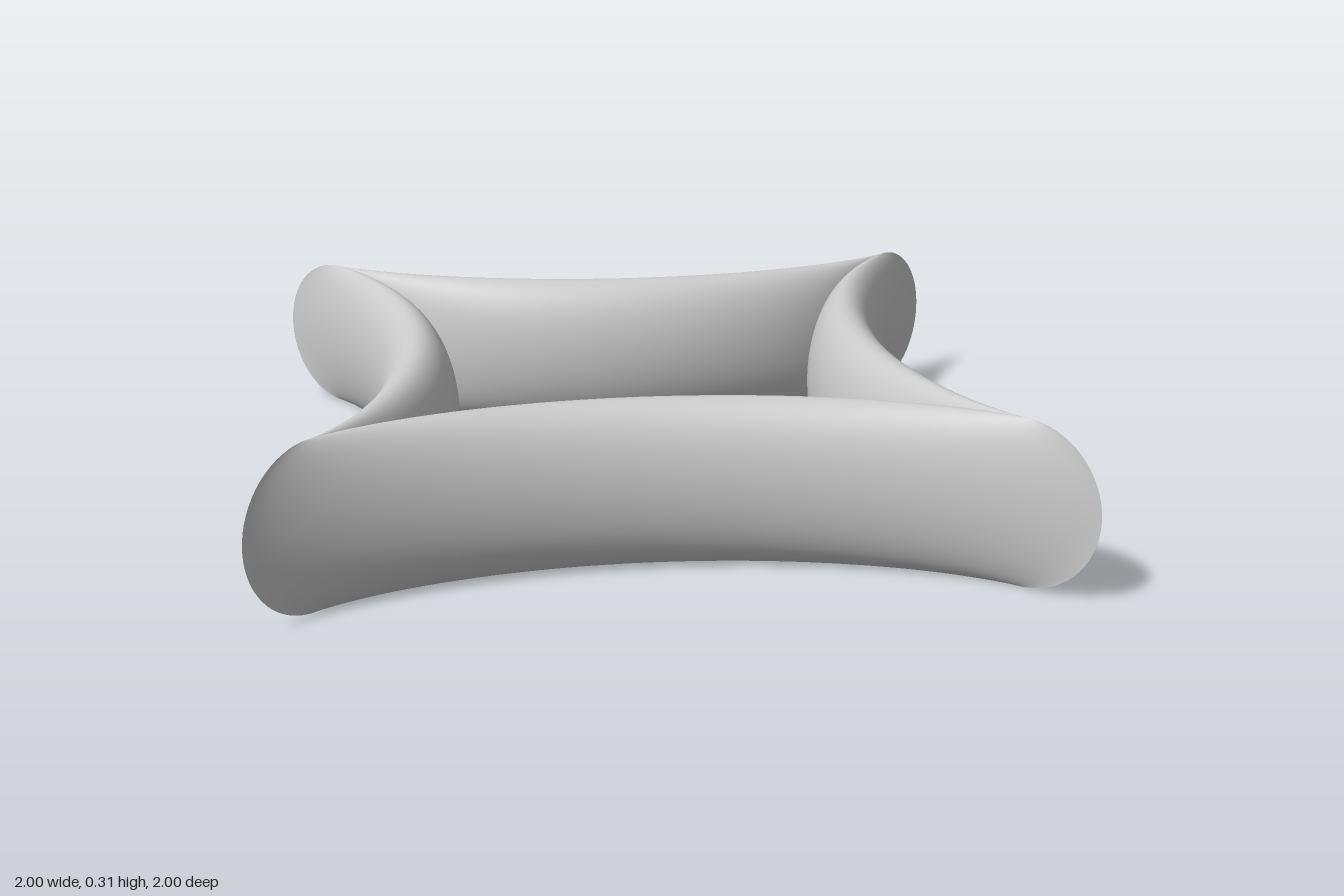
import * as THREE from 'three';

const RING = 0.8475;   // radius of the tube's centre line at the tips
const TUBE = 0.1525;   // tube radius
const ALONG = 80, AROUND = 64;

// One concave side: a torus quarter whose sweep follows an astroid (cos^3, sin^3)
function astroidArc() {
  const positions = [], indices = [];
  for (let i = 0; i <= ALONG; i++) {
    const u = (i / ALONG) * Math.PI / 2;
    const cx = Math.cos(u) ** 3, cz = Math.sin(u) ** 3;
    for (let j = 0; j < AROUND; j++) {
      const v = (j / AROUND) * Math.PI * 2;
      const reach = RING + TUBE * Math.cos(v);
      positions.push(reach * cx, TUBE + TUBE * Math.sin(v), reach * cz);
      if (i === ALONG) continue;
      const a = i * AROUND + j, b = i * AROUND + (j + 1) % AROUND;
      indices.push(a, b, a + AROUND, b, b + AROUND, a + AROUND);
    }
  }
  const geometry = new THREE.BufferGeometry();
  geometry.setAttribute('position', new THREE.Float32BufferAttribute(positions, 3));
  geometry.setIndex(indices);
  geometry.computeVertexNormals();
  return geometry;
}

export function createModel() {
  const group = new THREE.Group();
  group.name = 'astroidRing';
  const material = new THREE.MeshStandardMaterial({ color: 0xcccccc, side: THREE.DoubleSide });
  const geometry = astroidArc();

  // Four equal sides meeting in sharp vertical tips on the axes
  ['frontLeftSide', 'backLeftSide', 'backRightSide', 'frontRightSide'].forEach((name, k) => {
    const side = new THREE.Mesh(geometry, material);
    side.name = name;
    side.rotation.y = k * Math.PI / 2;
    group.add(side);
  });
  return group;
}
